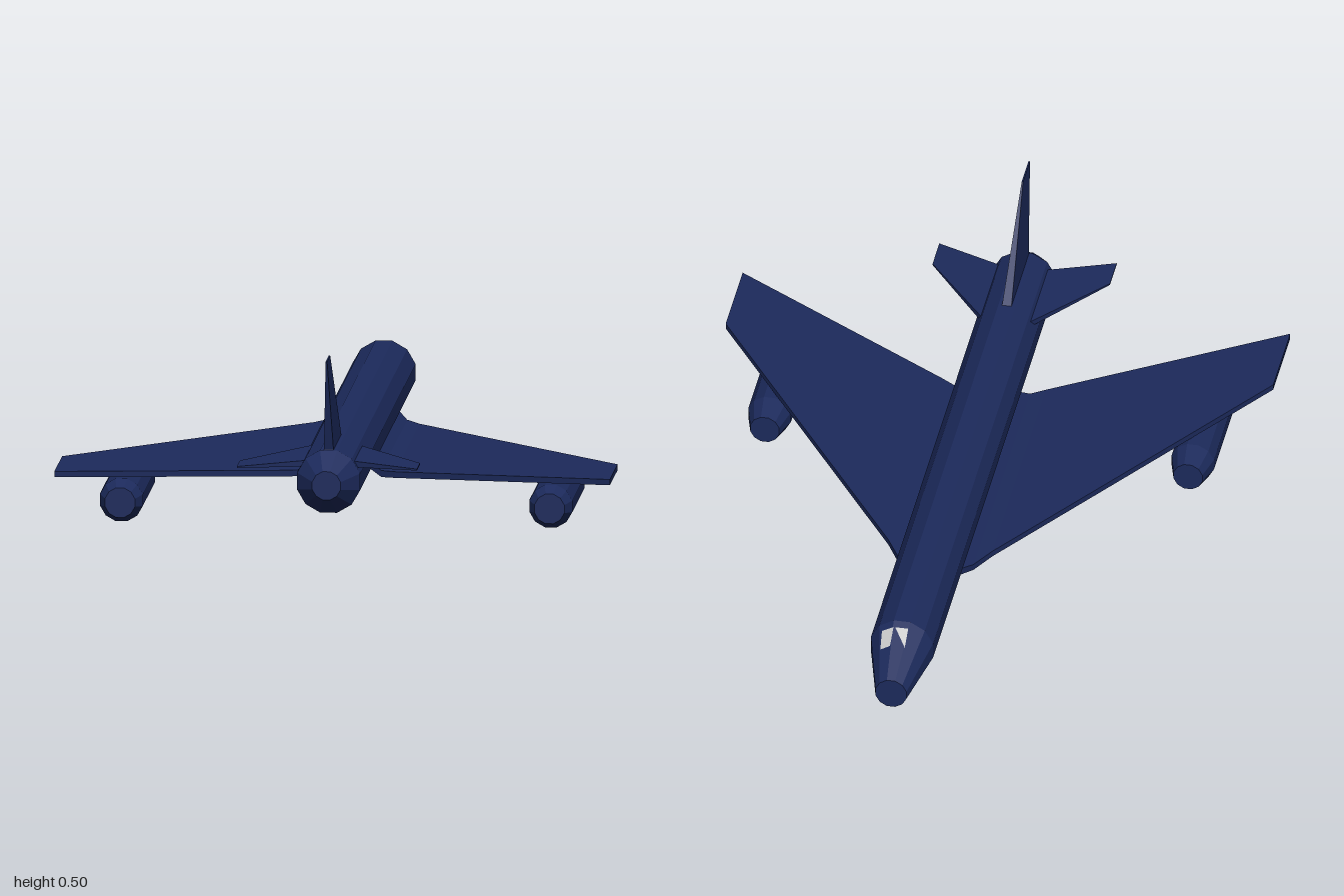
import * as THREE from 'three';

const navy = new THREE.MeshStandardMaterial({ color: 0x1c2a5c, flatShading: true, side: THREE.DoubleSide });
const glass = new THREE.MeshStandardMaterial({ color: 0xcccccc, flatShading: true, side: THREE.DoubleSide });

// Closed solid through convex cross-sections, each a list of [x, y, z]
function loft(sections) {
  const n = sections[0].length, pos = sections.flat(2), idx = [];
  for (let s = 0; s < sections.length - 1; s++) {
    for (let i = 0; i < n; i++) {
      const a = s * n + i, b = s * n + (i + 1) % n;
      idx.push(a, b, b + n, a, b + n, a + n);
    }
  }
  const last = (sections.length - 1) * n;
  for (let i = 1; i < n - 1; i++) {
    idx.push(0, i + 1, i, last, last + i, last + i + 1);
  }
  // Turn the faces outward when the signed volume is negative
  const p = (i) => new THREE.Vector3().fromArray(pos, i * 3);
  let volume = 0;
  for (let i = 0; i < idx.length; i += 3) {
    volume += p(idx[i]).dot(p(idx[i + 1]).cross(p(idx[i + 2])));
  }
  if (volume < 0) idx.reverse();
  const geo = new THREE.BufferGeometry();
  geo.setAttribute('position', new THREE.Float32BufferAttribute(pos, 3));
  geo.setIndex(idx);
  const flat = geo.toNonIndexed();
  flat.computeVertexNormals();
  return flat;
}

// Twelve-sided ring with flats at top, bottom and sides; a is half its width
function ring(x, y, z, a) {
  const r = a / Math.cos(Math.PI / 12);
  return Array.from({ length: 12 }, (_, i) => {
    const t = (i + 0.5) * Math.PI / 6;
    return [x + r * Math.cos(t), y + r * Math.sin(t), z];
  });
}

// Slab section of a wing at x: front z, back z, centre height, thickness
function slab(side, [x, z0, z1, y, t]) {
  const h = t / 2;
  return [[side * x, y - h, z0], [side * x, y + h, z0], [side * x, y + h, z1], [side * x, y - h, z1]];
}

// Height of the nose surface, lifted slightly for the window panes
function noseTop(x, z) {
  const t = (-0.84 - z) / 0.16;
  const a = 0.0865 - 0.0435 * t;
  const y = 0.161 - 0.044 * t;
  return y + Math.min(a, (a - Math.abs(x) * 0.5) / Math.cos(Math.PI / 6)) + 0.003;
}

function pane(corners) {
  const pts = corners.map(([x, z]) => [x, noseTop(x, z), z]);
  const geo = new THREE.BufferGeometry();
  const tris = [];
  for (let i = 1; i < pts.length - 1; i++) tris.push(...pts[0], ...pts[i], ...pts[i + 1]);
  geo.setAttribute('position', new THREE.Float32BufferAttribute(tris, 3));
  geo.computeVertexNormals();
  return geo;
}

export function createModel() {
  const model = new THREE.Group();
  model.name = 'jetBomber';
  const add = (name, geo, mat = navy) => {
    const mesh = new THREE.Mesh(geo, mat);
    mesh.name = name;
    model.add(mesh);
  };

  // Fuselage: drooped nose at -z, tapered tail at +z
  add('fuselage', loft([
    ring(0, 0.117, -1, 0.043),
    ring(0, 0.161, -0.84, 0.0865),
    ring(0, 0.161, 0.93, 0.0865),
    ring(0, 0.161, 1, 0.039),
  ]));

  // Cockpit windows
  add('windowRight', pane([[-0.021, -0.91], [-0.021, -0.86], [0.015, -0.86]]), glass);
  add('windowLeft', pane([[0.02, -0.91], [0.02, -0.86], [0.052, -0.86], [0.047, -0.91]]), glass);

  for (const side of [1, -1]) {
    const label = side > 0 ? 'left' : 'right';

    // Swept wing with a short root fairing
    add(label + 'Wing', loft([
      [0.07, -0.42, 0.44, 0.125, 0.02],
      [0.105, -0.355, 0.465, 0.104, 0.018],
      [0.145, -0.285, 0.49, 0.106, 0.017],
      [0.762, 0.57, 0.815, 0.15, 0.016],
    ].map((s) => slab(side, s))));

    // Tailplane
    add(label + 'Tailplane', loft([
      [0.05, 0.635, 0.9, 0.206, 0.018],
      [0.247, 0.885, 0.983, 0.206, 0.004],
    ].map((s) => slab(side, s))));

    // Engine pod under the wing
    const x = side * 0.589;
    add(label + 'Engine', loft([
      ring(x, 0.06, 0.235, 0.04),
      ring(x, 0.06, 0.305, 0.059),
      ring(x, 0.06, 0.69, 0.059),
      ring(x, 0.06, 0.735, 0.041),
    ]));
  }

  // Upright fin
  add('fin', loft([
    [0.22, 0.65, 0.93, 0.014],
    [0.25, 0.677, 0.925, 0.013],
    [0.505, 0.9, 1, 0.002],
  ].map(([y, z0, z1, h]) => [[-h, y, z0], [h, y, z0], [h, y, z1], [-h, y, z1]])));

  return model;
}
